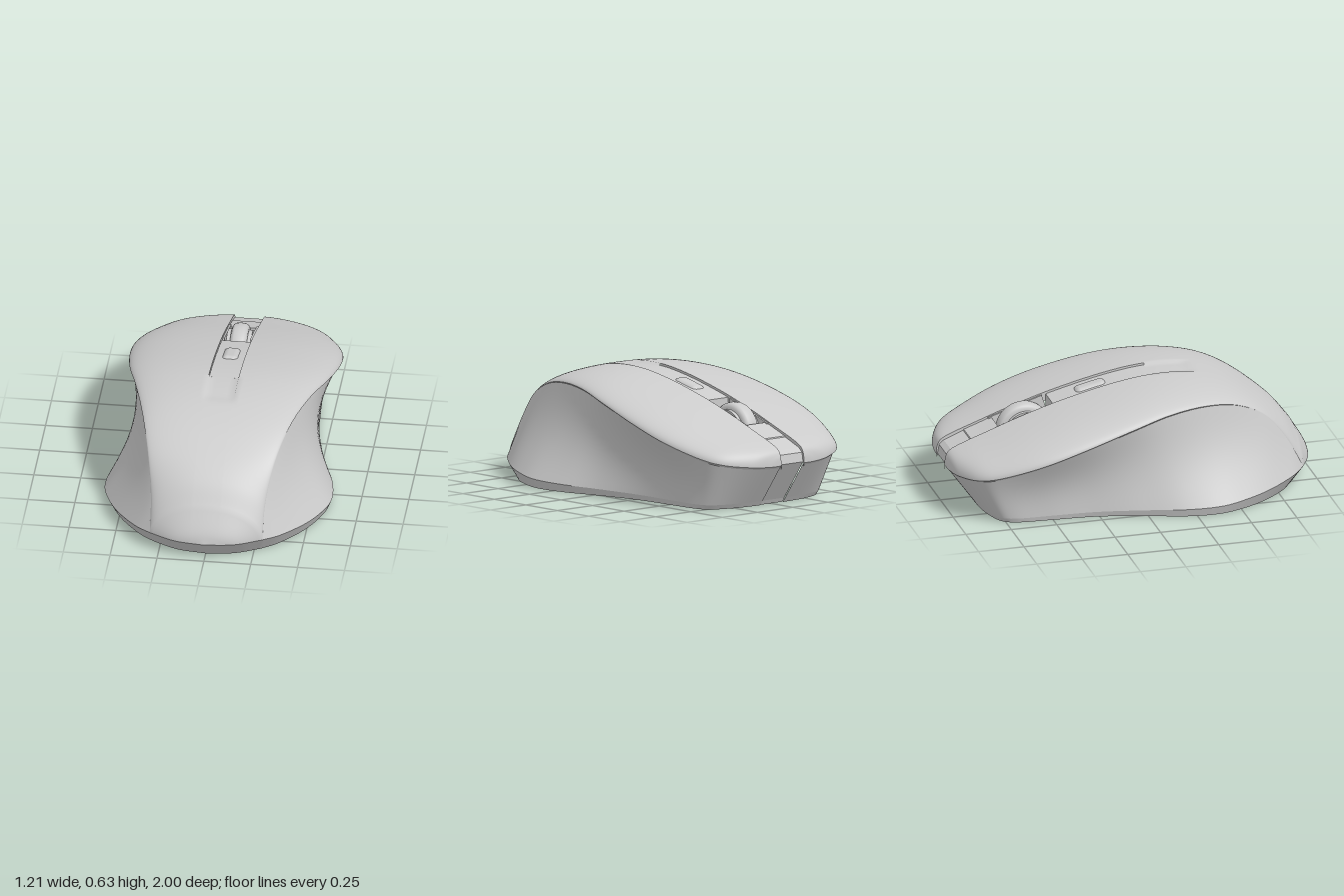
import * as THREE from 'three';
import { RoundedBoxGeometry } from 'three/addons/geometries/RoundedBoxGeometry.js';

const V = (x, y, z) => new THREE.Vector3(x, y, z);
const STEP = 8;      // samples between two stations
const SLOT = 0.08;   // half width of the centre channel
const DEPTH = 0.012; // depth of the centre channel

// Stations run from the palm end (+z) around one side to the nose (-z).
// Seam: lower edge of the top shell
const SEAM = [
  [0, .10, 1], [.16, .10, .976], [.30, .10, .91], [.305, .27, .82], [.335, .43, .69], [.375, .52, .53],
  [.42, .553, .35], [.475, .547, .14], [.53, .505, -.08], [.56, .43, -.35], [.545, .355, -.58],
  [.475, .285, -.79], [.40, .255, -.90], [.27, .237, -.97], [.16, .23, -.994], [.08, .23, -1]];
// Edge: widest line of the base
const EDGE = [
  [0, .10, 1], [.16, .10, .976], [.30, .10, .91], [.39, .09, .83], [.50, .075, .68], [.57, .062, .53],
  [.605, .05, .38], [.585, .043, .19], [.515, .036, -.03], [.455, .03, -.28], [.435, .027, -.52],
  [.42, .025, -.70], [.375, .025, -.785], [.26, .025, -.83], [.16, .025, -.845], [.08, .025, -.85]];
// Height of the shell on the centre line
const CREST = [.10, .165, .275, .385, .485, .572, .62, .627, .598, .535, .465, .39, .35, .318, .285, .25]
  .map(h => [h, 0, 0]);

// Smooth curve through the stations with a corner at station 2
function stationCurve(list) {
  const pts = list.map(p => V(...p));
  const make = a => new THREE.CatmullRomCurve3(a, false, 'catmullrom', 0.5);
  const palm = make(pts.slice(0, 3)), rest = make(pts.slice(2));
  return k => k <= 2 ? palm.getPoint(k / 2) : rest.getPoint((k - 2) / (pts.length - 3));
}
const seam = stationCurve(SEAM), edge = stationCurve(EDGE), crest = stationCurve(CREST);
const smooth = THREE.MathUtils.smoothstep;
const lerp = THREE.MathUtils.lerp;

// Grid surface f(k, j) over stations k0..k1; side -1 mirrors it
function grid(f, k0, k1, rows, side = 1) {
  const n = (k1 - k0) * STEP, pos = [], idx = [];
  for (let i = 0; i <= n; i++) for (let j = 0; j <= rows; j++) {
    const p = f(k0 + i / STEP, j);
    pos.push(p.x * side, p.y, p.z);
    if (i === n || j === rows) continue;
    const a = i * (rows + 1) + j, b = a + rows + 1;
    if (side > 0) idx.push(a, b, b + 1, a, b + 1, a + 1);
    else idx.push(a, b + 1, b, a, a + 1, b + 1);
  }
  const g = new THREE.BufferGeometry();
  g.setAttribute('position', new THREE.Float32BufferAttribute(pos, 3));
  g.setIndex(idx);
  g.computeVertexNormals();
  return g;
}

// Underside ring, drawn in from the base edge
function sole(k) {
  const e = edge(k);
  return V(e.x * (1 - .6 * e.y), 0, e.z * (1 - .8 * e.y));
}
// Top of the side wall, tucked under the shell lip
function wallTop(k) {
  const s = seam(k), w = smooth(k, 4, 8);
  return V(Math.max(s.x * (1 - .03 * w), Math.min(s.x, SLOT)), s.y - .012 * w, s.z * (1 - .012 * w));
}
// Concave side wall
function wall(k, j) {
  const v = j / 12, p = edge(k).lerp(wallTop(k), v);
  p.x -= .035 * Math.sin(Math.PI * v) * smooth(k, 2.5, 6) * (1 - smooth(k, 9, 12));
  return p;
}
// Domed shell at distance x from the centre line
function dome(k, x) {
  const s = seam(k), t = s.x > 0 ? Math.min(1, Math.abs(x) / s.x) : 1, nose = smooth(k, 6, 11);
  const y = s.y + (crest(k).x - s.y) * Math.pow(1 - Math.pow(t, lerp(2.3, 3, nose)), lerp(.58, .5, nose));
  return V(x, y, s.z);
}
// Outer shell, from the seam (j = 0) in to the channel edge (j = 20)
function shellSide(k, j) {
  const X = seam(k).x, c = Math.min(SLOT, X);
  return dome(k, c + (X - c) * Math.cos(j / 20 * Math.PI / 2));
}
// Full-width shell, with the shallow end of the channel fading out
function shellFull(k, j) {
  if (j <= 20) return shellSide(k, j);
  if (j >= 26) { const p = shellSide(k, 46 - j); p.x *= -1; return p; }
  const x = [.9, .45, 0, -.45, -.9][j - 21] * Math.min(SLOT, seam(k).x);
  const p = dome(k, x);
  p.y -= DEPTH * (1 - smooth(p.z, .32, .40));
  return p;
}

export function createModel() {
  const model = new THREE.Group();
  const mat = new THREE.MeshStandardMaterial({ color: 0xcccccc, roughness: .6 });
  const thin = new THREE.MeshStandardMaterial({ color: 0xcccccc, roughness: .6, side: THREE.DoubleSide });
  const add = (name, geo, m = mat, parent = model) => {
    const mesh = new THREE.Mesh(geo, m);
    mesh.name = name;
    parent.add(mesh);
    return mesh;
  };

  // Base plate
  add('underside', grid((k, j) => { const p = sole(k); p.x *= j - 1; return p; }, 0, 15, 2));

  // Mirrored body panels
  for (const side of [1, -1]) {
    const n = side > 0 ? 'left' : 'right';
    add(n + 'BaseRim', grid((k, j) => j ? edge(k) : sole(k), 0, 15, 1, side));
    add(n + 'SideGrip', grid(wall, 2, 12, 12, side));
    add(n + 'NosePanel', grid(wall, 12, 15, 12, side));
    add(n + 'ShellLip', grid((k, j) => j ? seam(k) : wallTop(k), 4, 15, 1, side), thin);
    // j runs inward here, which keeps the face pointing up
    add(n + 'ButtonShell', grid(shellSide, 7, 15, 20, side));
    add(n + 'ChannelWall', grid((k, j) => {
      const p = dome(k, SLOT);
      p.y -= j * .05;
      return p;
    }, 7, 15, 1, side), thin);
  }

  // Palm shell
  add('palmShell', grid(shellFull, 0, 7, 46));

  // Centre strip with the wheel well, drawn in (z, y) and extruded across
  const top = [];
  for (let i = 0; i <= 7 * STEP; i++) {
    const k = 7 + i / STEP, p = dome(k, SLOT * .45);
    if (p.z > -.975) top.push([p.z, p.y - DEPTH]);
  }
  const heightAt = z => {
    const i = Math.max(1, top.findIndex(p => p[0] <= z)), [a, b] = [top[i - 1], top[i]];
    return lerp(a[1], b[1], (z - a[0]) / (b[0] - a[0]));
  };
  const outline = [
    ...top.filter(p => p[0] > -.4), [-.4, heightAt(-.4)], [-.4, .22], [-.7, .22], [-.7, heightAt(-.7)],
    ...top.filter(p => p[0] < -.7 && p[0] > -.85), [-.85, heightAt(-.85)], [-.853, heightAt(-.85) - .006],
    [-.96, heightAt(-.96) - .004], [-.985, .285], [-.994, .235], [-.845, .025], [-.832, .002], [.14, .002]];
  const strip = new THREE.ExtrudeGeometry(
    new THREE.Shape(outline.map(p => new THREE.Vector2(-p[0], p[1]))),
    { depth: SLOT * 1.96, bevelEnabled: false });
  strip.translate(0, 0, -SLOT * .98).rotateY(Math.PI / 2);
  add('centreStrip', strip);

  // Cheeks beside the wheel
  const slope = Math.atan2(heightAt(-.4) - heightAt(-.7), .3);
  for (const side of [1, -1]) {
    const cheek = add(side > 0 ? 'leftWheelCheek' : 'rightWheelCheek', new THREE.BoxGeometry(.01, .14, .31));
    cheek.position.set(side * .073, heightAt(-.55) - .07, -.55);
    cheek.rotation.x = -slope;
  }

  // Scroll wheel: rounded tyre with a narrower hub
  const wheel = new THREE.Group();
  wheel.name = 'scrollWheel';
  const tyre = [[.10, -.045], [.125, -.045], [.140, -.038], [.147, -.025], [.150, 0],
    [.147, .025], [.140, .038], [.125, .045], [.10, .045]].map(p => new THREE.Vector2(...p));
  add('tyre', new THREE.LatheGeometry(tyre, 48), thin, wheel);
  add('hub', new THREE.CylinderGeometry(.115, .115, .132, 40), mat, wheel);
  wheel.rotation.z = Math.PI / 2;
  wheel.position.set(0, .36, -.545);
  model.add(wheel);

  // Small button behind the wheel
  const button = add('modeButton', new RoundedBoxGeometry(.096, .08, .18, 5, .034));
  button.position.set(0, heightAt(-.175) - .028, -.175);
  button.rotation.x = -Math.atan2(heightAt(-.09) - heightAt(-.26), .17);

  return model;
}
